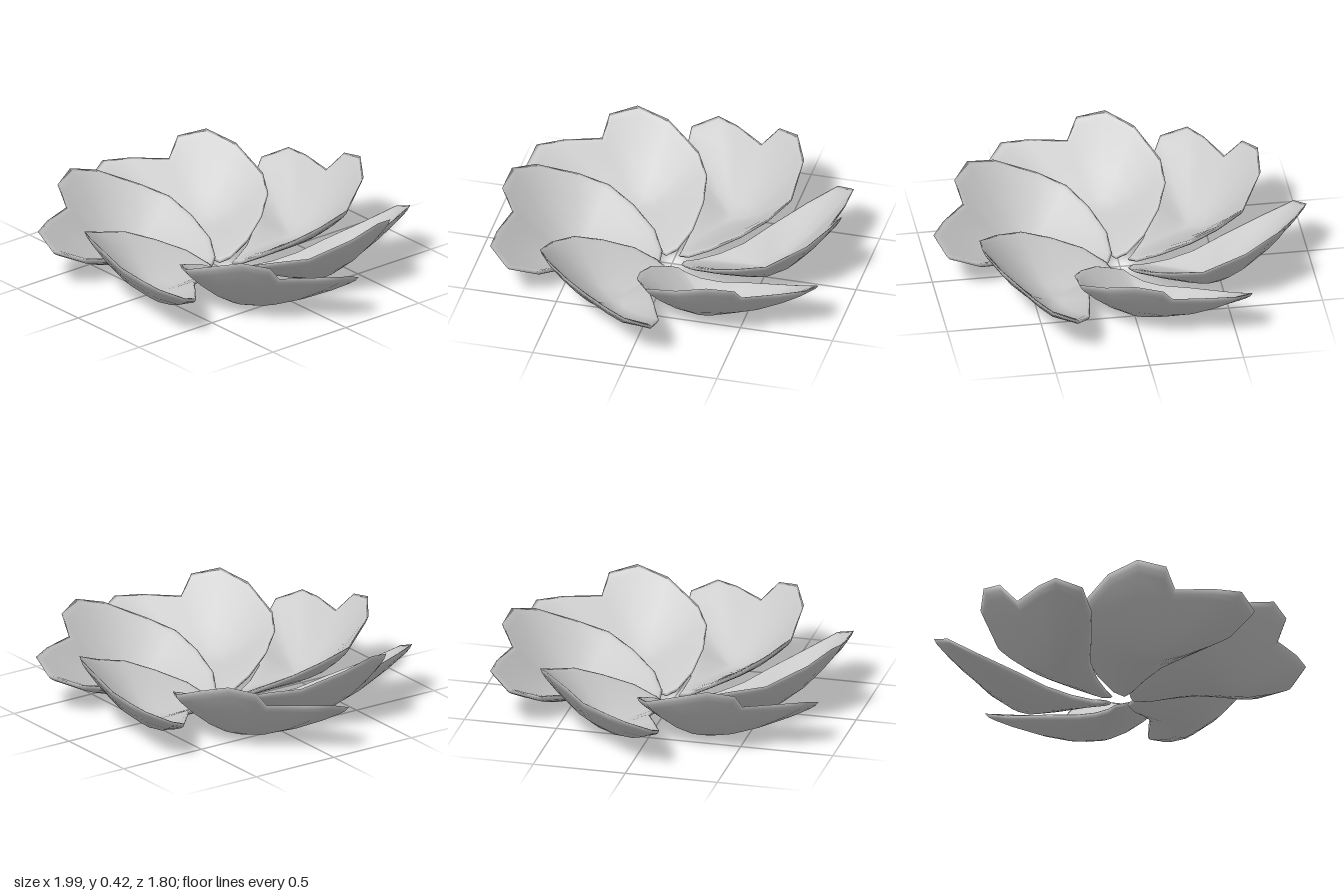
import * as THREE from 'three';

// Rim of one heart-shaped petal: down the raised left edge, round both lobes, back up the low, hollowed right edge
const RIM = [
  [0.01, 0.03, 0.06], [-0.05, 0.05, 0.065], [-0.15, 0.11, 0.13], [-0.25, 0.18, 0.27], [-0.31, 0.245, 0.42],
  [-0.31, 0.29, 0.59], [-0.2, 0.385, 0.79], [-0.06, 0.435, 0.885], [0.09, 0.4, 0.9], [0.15, 0.305, 0.83],
  [0.36, 0.31, 0.86], [0.5, 0.305, 0.86], [0.59, 0.25, 0.75], [0.5, 0.18, 0.61], [0.31, 0.13, 0.455],
  [0.17, 0.09, 0.345], [0.09, 0.055, 0.23], [0.04, 0.03, 0.12],
];
const BELLY = [0.05, 0.02, 0.5];

// Rings from the middle of the upper skin, over the rim, to the middle of the lower skin: [spread, lift]
const RINGS = [
  [0, 0.025], [0.25, 0.025], [0.5, 0.024], [0.75, 0.02], [0.92, 0.014], [0.97, 0.008],
  [1, 0], [0.97, -0.012], [0.92, -0.014], [0.75, -0.01], [0.5, -0.005], [0.25, 0], [0, 0],
];

function petalGeometry() {
  const pos = [], index = [], n = RIM.length;
  for (const [s, lift] of RINGS) {
    for (const [x, y, z] of RIM) {
      pos.push(
        BELLY[0] + (x - BELLY[0]) * s,
        BELLY[1] + (y - BELLY[1]) * s ** 1.6 + lift, // spoon-like hollow
        BELLY[2] + (z - BELLY[2]) * s
      );
    }
  }
  // The first and last rings collapse to points, so they share one vertex each
  const last = RINGS.length - 1;
  const id = (r, i) => (r === 0 || r === last ? r * n : r * n + (i % n));
  for (let r = 0; r < last; r++) {
    for (let i = 0; i < n; i++) {
      const a = id(r, i), b = id(r + 1, i), c = id(r + 1, i + 1), d = id(r, i + 1);
      if (b !== c) index.push(a, b, c);
      if (a !== d) index.push(a, c, d);
    }
  }
  const geo = new THREE.BufferGeometry();
  geo.setAttribute('position', new THREE.Float32BufferAttribute(pos, 3));
  geo.setIndex(index);
  geo.computeVertexNormals();
  return geo;
}

export function createModel() {
  const flower = new THREE.Group();
  flower.name = 'flower';
  const geo = petalGeometry();
  const material = new THREE.MeshStandardMaterial({ color: 0xcccccc });
  // Six overlapping petals around the open centre
  for (let k = 0; k < 6; k++) {
    const petal = new THREE.Mesh(geo, material);
    petal.name = 'petal' + (k + 1);
    petal.rotation.y = (k * Math.PI) / 3;
    flower.add(petal);
  }
  return flower;
}
